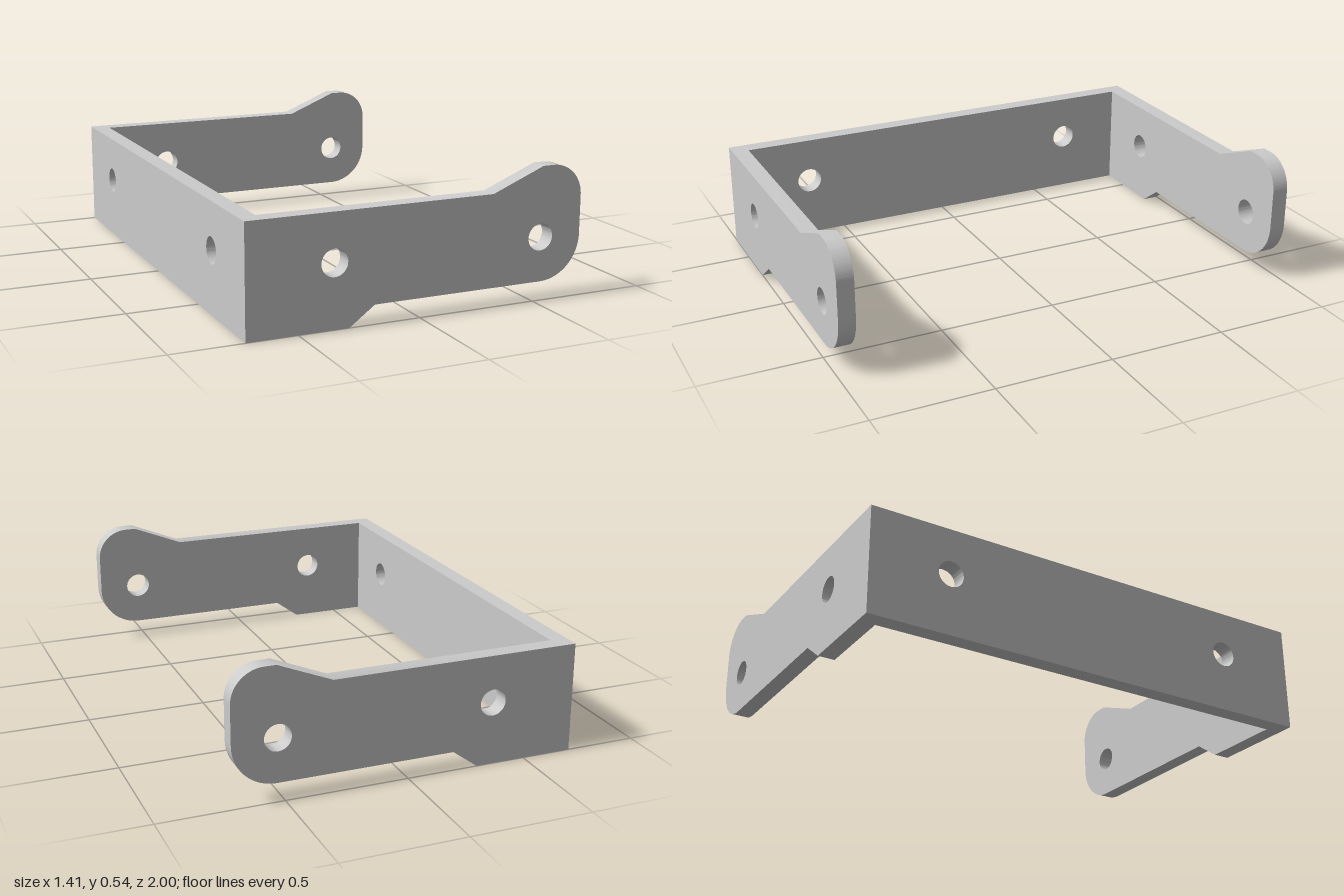
import * as THREE from 'three';
import { toCreasedNormals } from 'three/addons/utils/BufferGeometryUtils.js';

const T = 0.07;          // plate thickness
const BACK = -0.707;     // outer face of the cross plate
const HOLE_Y = 0.257;

function addHole(shape, x, r = 0.054) {
  const hole = new THREE.Path();
  hole.absarc(x, HOLE_Y, r, 0, Math.PI * 2, true);
  shape.holes.push(hole);
}

function plate(shape) {
  const geometry = new THREE.ExtrudeGeometry(shape, { depth: T, bevelEnabled: false, curveSegments: 24 });
  return toCreasedNormals(geometry, 0.4);
}

export function createModel() {
  const group = new THREE.Group();
  group.name = 'bracket';
  const material = new THREE.MeshStandardMaterial({ color: 0xcccccc });

  // Side arm: stepped lower edge, raised rounded tip, two bolt holes
  const arm = new THREE.Shape();
  arm.moveTo(BACK, 0);
  arm.lineTo(-0.295, 0);
  arm.lineTo(-0.19, 0.077);
  arm.lineTo(0.531, 0.077);
  arm.absarc(0.531, 0.253, 0.176, -Math.PI / 2, 0, false);
  arm.lineTo(0.707, 0.41);
  arm.absarc(0.577, 0.41, 0.13, 0, Math.PI / 2, false);
  arm.lineTo(0.53, 0.54);
  arm.lineTo(0.31, 0.45);
  arm.lineTo(BACK, 0.45);
  arm.closePath();
  addHole(arm, -0.355);
  addHole(arm, 0.527);
  const armGeometry = plate(arm);
  for (const [name, z] of [['frontArm', 1 - T], ['rearArm', -1]]) {
    const mesh = new THREE.Mesh(armGeometry, material);
    mesh.name = name;
    mesh.position.z = z;
    group.add(mesh);
  }

  // Cross plate joining the arms, with two bolt holes
  const half = 1 - T;
  const cross = new THREE.Shape();
  cross.moveTo(-half, 0);
  cross.lineTo(half, 0);
  cross.lineTo(half, 0.45);
  cross.lineTo(-half, 0.45);
  cross.closePath();
  for (const side of [-1, 1]) addHole(cross, side * 0.657);
  const crossPlate = new THREE.Mesh(plate(cross), material);
  crossPlate.name = 'crossPlate';
  crossPlate.rotation.y = -Math.PI / 2;
  crossPlate.position.x = BACK + T;
  group.add(crossPlate);

  return group;
}
